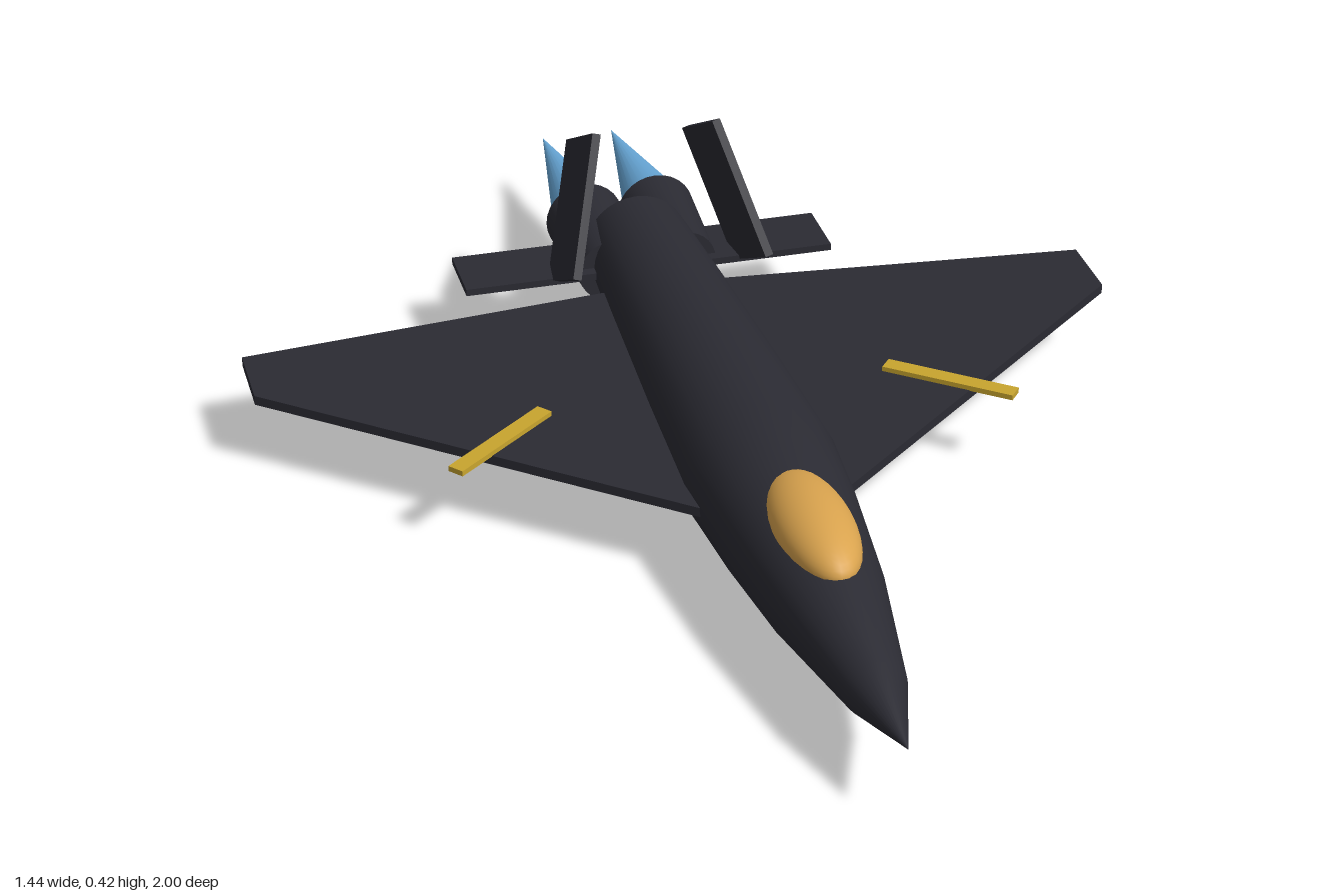
import * as THREE from 'three';

const material = (name, color) => {
  const m = new THREE.MeshStandardMaterial({ color });
  m.name = name;
  return m;
};

export function createModel() {
  const dark = material('dark grey', 0x2b2b33);
  const gold = material('canopy gold', 0xd9a34e);
  const yellow = material('stripe yellow', 0xc9a52e);
  const blue = material('exhaust blue', 0x68a8d8);

  const model = new THREE.Group();
  model.name = 'jet';
  const add = (name, geometry, mat, x = 0, y = 0, z = 0) => {
    const mesh = new THREE.Mesh(geometry, mat);
    mesh.name = name;
    mesh.position.set(x, y, z);
    model.add(mesh);
    return mesh;
  };

  // Fuselage: round body turned about the z axis, [radius, z] from tail to nose
  const profile = [
    [0.09, -0.55], [0.103, -0.3], [0.116, 0], [0.124, 0.25],
    [0.113, 0.4], [0.091, 0.6], [0.047, 0.85], [0, 1],
  ].map(([r, z]) => new THREE.Vector2(r, z));
  add('fuselage', new THREE.LatheGeometry(profile, 32).rotateX(Math.PI / 2), dark, 0, 0.125, 0);
  add('fuselageEnd', new THREE.CircleGeometry(0.09, 32).rotateY(Math.PI), dark, 0, 0.125, -0.55);

  // Canopy: upper half of a long ellipsoid
  const dome = new THREE.SphereGeometry(1, 32, 12, 0, Math.PI * 2, 0, Math.PI / 2);
  add('canopy', dome.scale(0.062, 0.051, 0.152), gold, 0, 0.2, 0.527);

  for (const side of [1, -1]) {
    const label = side > 0 ? 'left' : 'right';

    // Delta wing: flat plan outline given as [x, z]
    const plan = [[0, 0.425], [0.72, -0.19], [0.72, -0.32], [0, -0.39]];
    const outline = new THREE.Shape(plan.map(([x, z]) => new THREE.Vector2(side * x, -z)));
    const wing = new THREE.ExtrudeGeometry(outline, { depth: 0.016, bevelEnabled: false });
    add(label + 'Wing', wing.rotateX(-Math.PI / 2), dark, 0, 0.114, 0);

    // Slanting bar across the leading edge
    const bar = add(label + 'WingBar', new THREE.BoxGeometry(0.225, 0.009, 0.028), yellow,
      side * 0.37, 0.1335, 0.055);
    bar.rotation.y = -side * 0.69;

    // Tailplane
    add(label + 'Tailplane', new THREE.BoxGeometry(0.3, 0.012, 0.12), dark,
      side * 0.17, 0.124, -0.51);

    // Tail fin: swept back and leaning inwards
    const fin = add(label + 'Fin', new THREE.BoxGeometry(0.014, 0.243, 0.228), dark,
      side * 0.133, 0.261, -0.445);
    fin.rotation.set(-0.49, 0, side * 0.26);

    // Engine nozzle and exhaust cone, both pointing backwards
    const nozzle = new THREE.CylinderGeometry(0.068, 0.056, 0.2, 28).rotateX(-Math.PI / 2);
    add(label + 'Nozzle', nozzle, dark, side * 0.064, 0.12, -0.57);
    const exhaust = new THREE.ConeGeometry(0.056, 0.33, 28).rotateX(-Math.PI / 2);
    add(label + 'Exhaust', exhaust, blue, side * 0.064, 0.12, -0.835);
  }
  return model;
}
